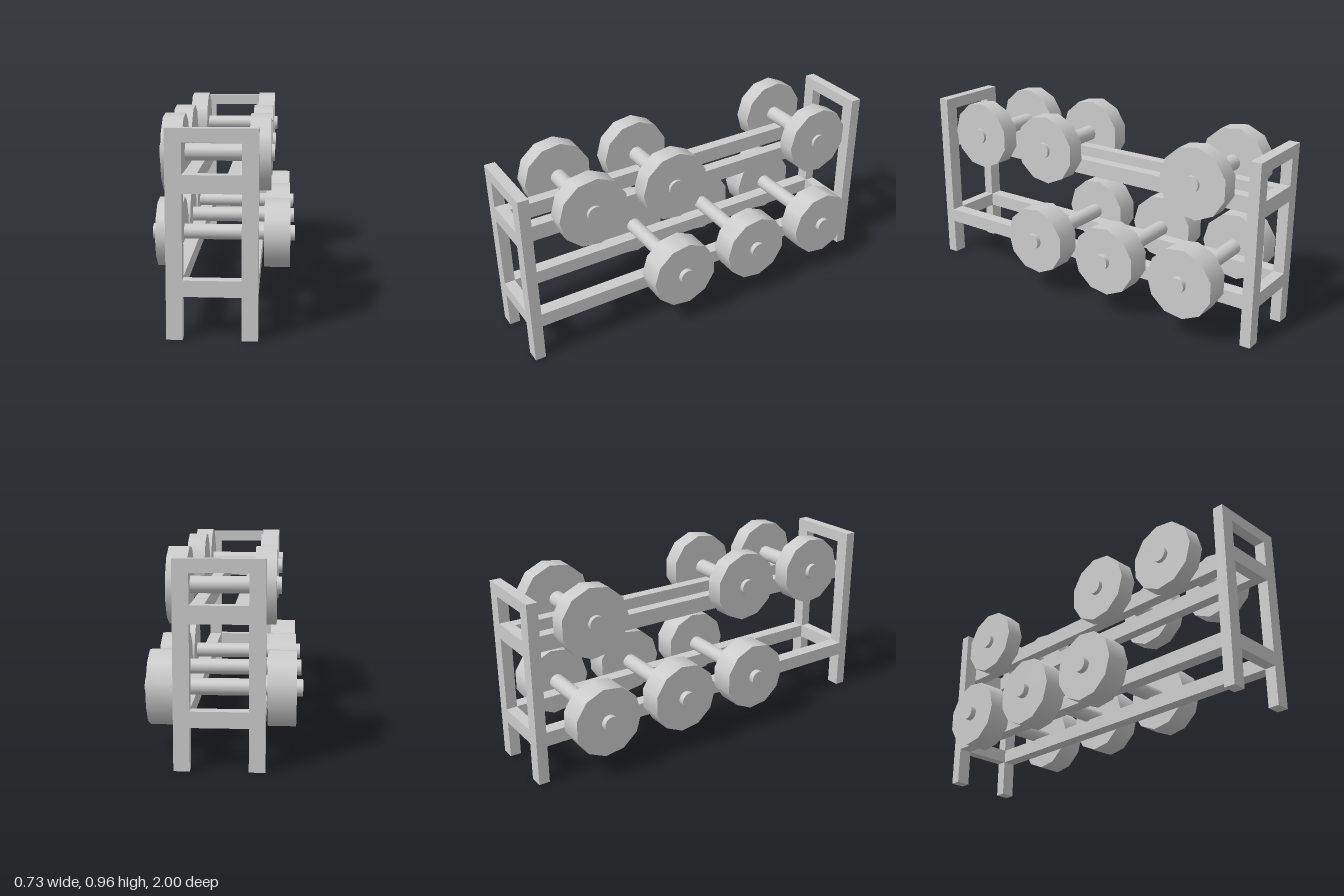
import * as THREE from 'three';

const material = new THREE.MeshStandardMaterial({ color: 0xcccccc });

// Box given by its min and max corners
function box(name, [x0, y0, z0], [x1, y1, z1]) {
  const mesh = new THREE.Mesh(new THREE.BoxGeometry(x1 - x0, y1 - y0, z1 - z0), material);
  mesh.position.set((x0 + x1) / 2, (y0 + y1) / 2, (z0 + z1) / 2);
  mesh.name = name;
  return mesh;
}

// Cylinder lying along x between x0 and x1
function rod(name, radius, x0, x1, sides) {
  const geometry = new THREE.CylinderGeometry(radius, radius, x1 - x0, sides).rotateZ(Math.PI / 2);
  const mesh = new THREE.Mesh(geometry, material);
  mesh.position.x = (x0 + x1) / 2;
  mesh.name = name;
  return mesh;
}

// Dumbbell: a round handle through two eleven-sided weights
function dumbbell(inner, outer, halfLength, y, z) {
  const group = new THREE.Group();
  group.name = 'dumbbell';
  const shift = 0.003;
  group.add(
    rod('handle', 0.04, -halfLength, halfLength, 24),
    rod('rightWeight', 0.179, -outer + shift, -inner + shift, 11),
    rod('leftWeight', 0.179, inner + shift, outer + shift, 11),
  );
  group.position.set(0, y, z);
  return group;
}

// End frame: two posts joined by three crossbars
function endFrame(name, z0, z1) {
  const group = new THREE.Group();
  group.name = name;
  for (const x of [-0.2, 0.128]) group.add(box('post', [x, 0, z0], [x + 0.072, 0.926, z1]));
  for (const [y0, y1] of [[0.195, 0.268], [0.648, 0.728], [0.866, 0.926]]) {
    group.add(box('crossbar', [-0.128, y0, z0], [0.128, y1, z1]));
  }
  return group;
}

export function createModel() {
  const model = new THREE.Group();
  model.name = 'dumbbellRack';

  model.add(endFrame('frontFrame', 0.945, 1), endFrame('backFrame', -1, -0.945));

  // Long rails: lower pair flush with the posts, upper pair set inward
  for (const s of [-1, 1]) {
    const lower = box('lowerRail', [-0.035, 0.195, -0.945], [0.035, 0.268, 0.945]);
    lower.position.x = s * 0.165;
    const upper = box('upperRail', [-0.03, 0.648, -0.945], [0.03, 0.728, 0.945]);
    upper.position.x = s * 0.096;
    model.add(lower, upper);
  }

  // Four places per shelf, one left empty on each
  const slot = (i) => 0.65 - i * 0.443;
  for (const i of [0, 1, 3]) model.add(dumbbell(0.15, 0.244, 0.263, 0.779, slot(i)));
  for (const i of [1, 2, 3]) model.add(dumbbell(0.207, 0.337, 0.365, 0.303, slot(i)));

  return model;
}
